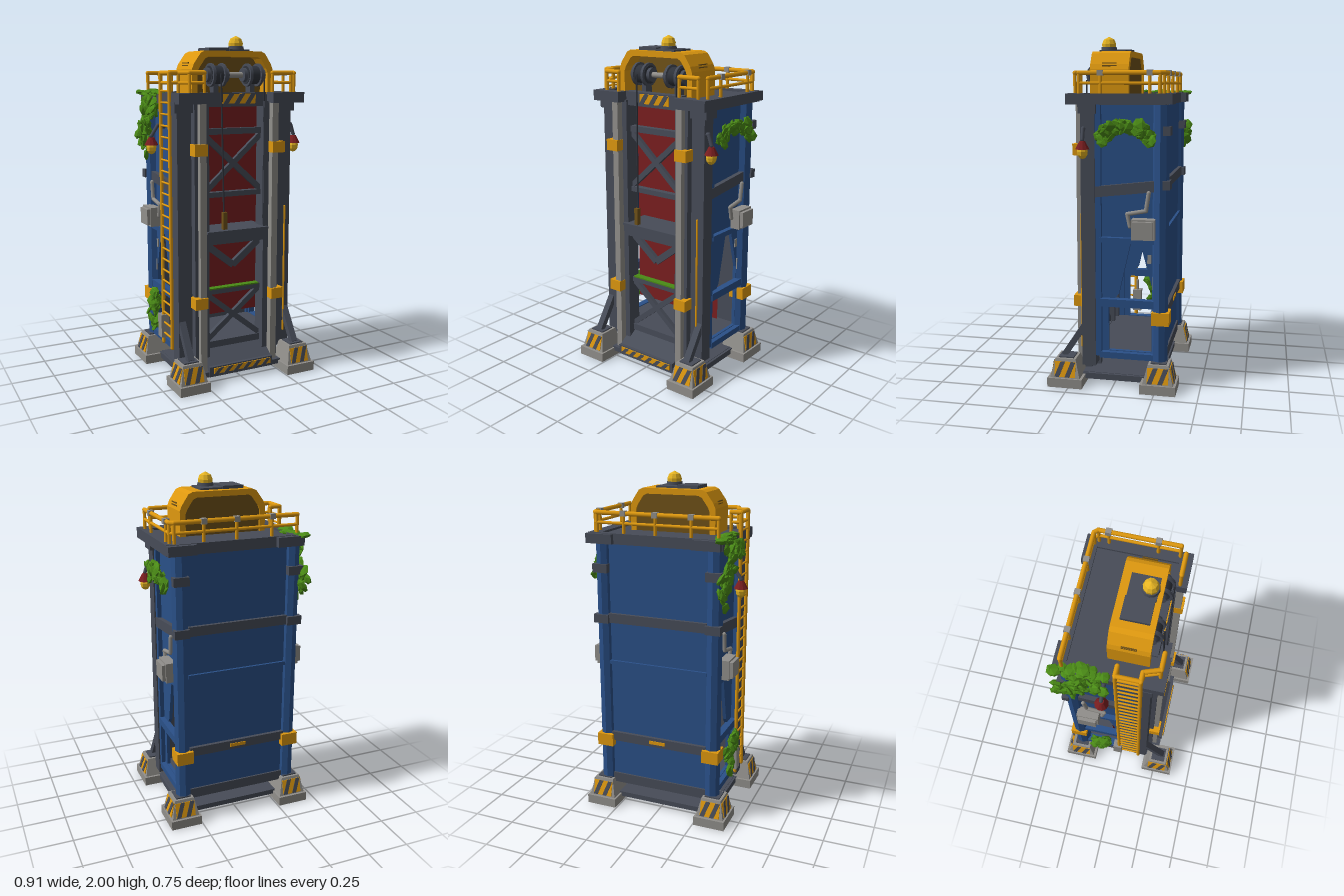
import * as THREE from 'three';

const mat = (name, color) => Object.assign(new THREE.MeshStandardMaterial({ color }), { name });
const M = {
  steel: mat('dark steel', 0x474c58), blue: mat('blue panel', 0x2a5088), yellow: mat('safety yellow', 0xdf990f),
  red: mat('red lining', 0x7a1e20), grey: mat('light grey', 0x918f8b), green: mat('leaf green', 0x4a8a16),
  brown: mat('brown panel', 0x705218), gold: mat('gold glass', 0xe6b422), black: mat('black rubber', 0x2f333b),
};
const V = (x, y, z) => new THREE.Vector3(x, y, z);
const UP = V(0, 1, 0);

function flat(geo) {
  const g = geo.index ? geo.toNonIndexed() : geo;
  g.computeVertexNormals();
  return g;
}

export function createModel() {
  const root = new THREE.Group();
  root.name = 'liftTower';
  const add = (name, geo, m, x = 0, y = 0, z = 0, parent = root) => {
    const mesh = new THREE.Mesh(geo, m);
    mesh.name = name;
    mesh.position.set(x, y, z);
    parent.add(mesh);
    return mesh;
  };
  const box = (name, m, w, h, d, x, y, z, parent) => add(name, new THREE.BoxGeometry(w, h, d), m, x, y, z, parent);
  // straight member between two points
  const span = (name, geo, m, a, b, parent) => {
    const mesh = add(name, geo, m, 0, 0, 0, parent);
    mesh.position.copy(a).lerp(b, 0.5);
    mesh.quaternion.setFromUnitVectors(UP, b.clone().sub(a).normalize());
    return mesh;
  };
  const beam = (name, m, a, b, w, d) => span(name, new THREE.BoxGeometry(w, a.distanceTo(b), d), m, a, b);
  const pipe = (name, m, pts, r) => {
    const g = new THREE.Group();
    g.name = name;
    root.add(g);
    pts.forEach((p, i) => {
      if (i) span(name + 'Run', new THREE.CylinderGeometry(r, r, p.distanceTo(pts[i - 1]), 8), m, pts[i - 1], p, g);
      add(name + 'Joint', new THREE.SphereGeometry(r, 8, 6), m, p.x, p.y, p.z, g);
    });
    return g;
  };
  // yellow plate with slanted dark stripes, facing +z
  const hazard = (name, w, h, n, parent = root) => {
    const g = new THREE.Group();
    g.name = name;
    parent.add(g);
    box('stripePlate', M.yellow, w, h, 0.006, 0, 0, 0, g);
    const step = w / n, s = step * 0.45;
    for (let i = 0; i < n; i++) {
      const x = -w / 2 + i * step;
      const shape = new THREE.Shape([[x, -h / 2], [x + s, -h / 2], [x + s * 2.2, h / 2], [x + s * 1.2, h / 2]]
        .map(p => new THREE.Vector2(...p)));
      add('darkStripe', new THREE.ExtrudeGeometry(shape, { depth: 0.003, bevelEnabled: false }), M.steel, 0, 0, 0.003, g);
    }
    return g;
  };

  // feet: concrete pad, tapered boot and hazard plates
  for (const sx of [-1, 1]) for (const sz of [-1, 1]) {
    const foot = new THREE.Group();
    foot.name = 'foot';
    foot.position.set(sx * 0.35, 0, sz * 0.27);
    root.add(foot);
    box('pad', M.grey, 0.187, 0.055, 0.205, 0, 0.0275, 0, foot);
    const g = new THREE.BoxGeometry(0.165, 0.11, 0.175), p = g.attributes.position;
    for (let i = 0; i < p.count; i++) if (p.getY(i) > 0) p.setXYZ(i, p.getX(i) * 0.72, p.getY(i), p.getZ(i) * 0.68);
    add('boot', flat(g), M.grey, 0, 0.11, 0, foot);
    box('bootSocket', M.steel, 0.09, 0.012, 0.09, 0, 0.166, 0, foot);
    const f = hazard('bootHazard', 0.118, 0.09, 2, foot);
    f.position.set(0, 0.105, sz * 0.076);
    f.rotation.set(-sz * 0.25, sz > 0 ? 0 : Math.PI, 0);
    const s = hazard('bootHazard', 0.122, 0.09, 2, foot);
    s.rotation.order = 'YXZ';
    s.position.set(sx * 0.073, 0.105, 0);
    s.rotation.set(-0.206, sx * Math.PI / 2, 0);
  }

  // base, raised floor and entry ramp
  box('basePlate', M.steel, 0.66, 0.03, 0.54, 0, 0.05, -0.01);
  box('floor', M.steel, 0.64, 0.035, 0.38, 0, 0.188, -0.07);
  beam('ramp', M.steel, V(0, 0.075, 0.255), V(0, 0.185, 0.1), 0.42, 0.02);
  box('threshold', M.steel, 0.42, 0.06, 0.03, 0, 0.065, 0.25);
  hazard('thresholdHazard', 0.38, 0.035, 6).position.set(0.005, 0.07, 0.268);
  box('backSill', M.steel, 0.62, 0.06, 0.05, 0, 0.17, -0.27);

  // frame, rails and side walls, mirrored left and right
  const pt = (z, y) => new THREE.Vector2(-z, y);
  for (const s of [-1, 1]) {
    box('frontPost', M.steel, 0.085, 1.5, 0.08, s * 0.325, 0.87, 0.14);
    box('innerPost', M.steel, 0.035, 1.56, 0.09, s * 0.195, 0.85, 0.15);
    box('channelBack', M.steel, 0.08, 1.54, 0.02, s * 0.25, 0.85, 0.15);
    box('guideRail', M.grey, 0.04, 1.57, 0.045, s * 0.232, 0.835, 0.212);
    box('railSpine', M.steel, 0.02, 1.55, 0.05, s * 0.263, 0.845, 0.18);
    box('sidePost', M.blue, 0.05, 1.44, 0.035, s * 0.335, 0.9, 0.085);
    add('backPost', flat(new THREE.CylinderGeometry(0.046, 0.046, 1.48, 8)), M.blue, s * 0.335, 0.88, -0.268);
    for (const y of [0.48, 1.365]) box('railClamp', M.yellow, 0.08, 0.065, 0.07, s * 0.25, y, 0.212);
    box('backClamp', M.yellow, 0.1, 0.075, 0.1, s * 0.335, 0.425, -0.275);
    for (const y of [1.185, 1.48]) box('postCollar', M.steel, 0.09, 0.05, 0.04, s * 0.34, y, -0.303);
    box('topCollar', M.steel, 0.11, 0.06, 0.1, s * 0.33, 1.6, 0.14);

    // wall with broken opening
    const wall = new THREE.Shape([pt(0.09, 0.2), pt(-0.25, 0.2), pt(-0.25, 1.63), pt(0.09, 1.63)]);
    wall.holes.push(new THREE.Path([pt(0.03, 0.21), pt(0.03, 0.47), pt(-0.03, 0.55), pt(-0.1, 0.86),
      pt(-0.15, 0.86), pt(-0.22, 0.6), pt(-0.22, 0.21)]));
    add('sideWall', new THREE.ExtrudeGeometry(wall, { depth: 0.02, bevelEnabled: false }).rotateY(Math.PI / 2),
      M.blue, s * 0.325 - 0.01);

    // side girts
    beam('upperGirt', M.steel, V(s * 0.345, 1.13, 0.16), V(s * 0.345, 1.175, -0.235), 0.035, 0.06);
    for (const [y, h] of [[0.865, 0.03], [0.5, 0.045], [0.188, 0.036]])
      box('sideGirt', M.blue, 0.04, h, 0.31, s * 0.345, y, -0.08);
    box('bottomGirt', M.steel, 0.05, 0.035, 0.44, s * 0.32, 0.045, 0);
    beam('footBrace', M.steel, V(s * 0.345, 0.17, 0.29), V(s * 0.345, 0.43, 0.12), 0.04, 0.035);
    for (const [y, z, h] of [[0.62, -0.232, 0.07], [0.76, -0.205, 0.05]])
      box('wallStain', M.grey, 0.006, h, 0.022, s * 0.338, y, z);
  }
  pipe('cableConduit', M.yellow, [V(0.33, 0.22, 0.188), V(0.33, 1.0, 0.188)], 0.006);

  // back wall, and the red sheet closing the shaft behind the lattice
  box('backWall', M.blue, 0.62, 1.46, 0.03, 0, 0.9, -0.27);
  box('backLining', M.steel, 0.61, 1.42, 0.008, 0, 0.91, -0.251);
  add('shaftLining', new THREE.PlaneGeometry(0.62, 1.32), M.red, 0, 0.96, -0.06);
  for (const y of [0.45, 1.19]) box('backGirt', M.steel, 0.6, 0.055, 0.035, 0, y, -0.288);
  box('backRidge', M.blue, 0.6, 0.022, 0.03, 0, 0.92, -0.285);
  box('paintMark', M.yellow, 0.1, 0.02, 0.006, 0, 0.45, -0.307);

  // front lattice
  const Z = 0.14;
  for (const [y, h] of [[1.46, 0.035], [1.095, 0.03], [0.515, 0.03], [0.19, 0.04]]) box('crossBar', M.steel, 0.38, h, 0.04, 0, y, Z);
  box('landing', M.steel, 0.4, 0.07, 0.1, 0, 0.845, 0.15);
  box('landingPlate', M.steel, 0.4, 0.012, 0.2, 0, 0.885, 0.12);
  box('moss', M.green, 0.34, 0.008, 0.042, 0, 0.532, Z);
  for (const s of [-1, 1]) {
    beam('brace', M.steel, V(-s * 0.185, 1.11, Z), V(s * 0.185, 1.44, Z), 0.032, 0.025);
    beam('brace', M.steel, V(-s * 0.185, 0.21, Z), V(s * 0.185, 0.51, Z), 0.032, 0.025);
    beam('veeBrace', M.steel, V(s * 0.185, 0.81, Z), V(0, 0.665, Z), 0.04, 0.025);
  }

  // top deck
  box('deck', M.steel, 0.74, 0.045, 0.48, 0.01, 1.645, -0.06);
  for (const [x, w] of [[-0.352, 0.06], [0.38, 0.07]]) box('deckSideBeam', M.steel, w, 0.06, 0.55, x, 1.65, -0.025);
  for (const [x, w] of [[-0.285, 0.19], [0.31, 0.21]]) box('deckFrontBeam', M.steel, w, 0.06, 0.07, x, 1.65, 0.215);
  box('deckBackBeam', M.steel, 0.7, 0.06, 0.04, 0.01, 1.65, -0.287);
  for (const [x, w] of [[-0.3, 0.16], [0.335, 0.16]]) box('deckCornerPlate', M.steel, w, 0.055, 0.06, x, 1.65, -0.306);
  box('header', M.steel, 0.4, 0.08, 0.06, 0, 1.64, 0.15);
  hazard('headerHazard', 0.21, 0.055, 3).position.set(0.02, 1.645, 0.184);

  // guard rails: upper and lower pipes with posts and sleeves
  const runs = [
    [[-0.355, -0.285], [0.365, -0.285], [0.385, -0.265], [0.385, 0.18]],
    [[0.345, 0.212], [0.22, 0.212]],
    [[-0.33, 0], [-0.385, 0], [-0.385, 0.13], [-0.335, 0.13], [-0.305, 0.215], [-0.215, 0.215]],
  ];
  for (const run of runs) {
    for (const [y, r] of [[1.79, 0.013], [1.735, 0.009]]) pipe('guardRail', M.yellow, run.map(([x, z]) => V(x, y, z)), r);
    for (const [x, z] of run) pipe('guardPost', M.yellow, [V(x, 1.67, z), V(x, 1.79, z)], 0.01);
  }
  for (const [x, z] of [[-0.2, -0.285], [0.01, -0.285], [0.2, -0.285], [0.385, -0.21], [0.385, 0.06]]) {
    pipe('guardPost', M.yellow, [V(x, 1.67, z), V(x, 1.79, z)], 0.01);
    box('railSleeve', M.grey, 0.032, 0.03, 0.032, x, 1.79, z);
  }

  // ladder
  for (const z of [0, 0.13]) pipe('ladderRail', M.yellow, [V(-0.39, 0.2, z), V(-0.39, 1.79, z)], 0.011);
  for (let y = 0.26; y < 1.7; y += 0.065) pipe('ladderRung', M.yellow, [V(-0.39, y, 0), V(-0.39, y, 0.13)], 0.006);

  // machine housing
  const arch = k => [[-0.26, 1.66], [-0.26, 1.81], [-0.248, 1.84], [-0.205, 1.9], [-0.18, 1.912],
    [0.18, 1.912], [0.205, 1.9], [0.245, 1.84], [0.257, 1.81], [0.257, 1.66]]
    .map(([x, y]) => new THREE.Vector2(x * (1 - k), 1.66 + (y - 1.66) * (1 - k)));
  const shell = new THREE.Shape([...arch(0), ...arch(0.13).reverse()]);
  add('housingShell', new THREE.ExtrudeGeometry(shell, { depth: 0.22, bevelEnabled: false }), M.yellow, 0, 0, -0.07);
  add('housingCore', new THREE.ExtrudeGeometry(new THREE.Shape(arch(0.13)), { depth: 0.12, bevelEnabled: false }), M.brown, 0, 0, -0.06);
  for (const s of [-1, 1]) for (const y of [1.83, 1.845]) box('ventSlot', M.brown, 0.006, 0.006, 0.08, s * 0.25, y, 0.04);
  box('roofHatch', M.steel, 0.125, 0.02, 0.15, -0.077, 1.92, 0.045);
  box('beaconPlate', M.steel, 0.13, 0.012, 0.15, 0.052, 1.916, 0.05);
  add('beaconBase', new THREE.CylinderGeometry(0.045, 0.048, 0.02, 12), M.steel, 0.047, 1.93, 0.085);
  add('beacon', flat(new THREE.LatheGeometry([[0.04, 0], [0.042, 0.02], [0.032, 0.045], [0, 0.062]]
    .map(p => new THREE.Vector2(...p)), 10)), M.gold, 0.047, 1.938, 0.085);

  // winch drums, shaft, ropes and hook
  const roll = (name, m, r, w, x) => add(name, new THREE.CylinderGeometry(r, r, w, 16).rotateZ(Math.PI / 2), m, x, 1.778, 0.125);
  roll('winchShaft', M.grey, 0.016, 0.36, 0.01);
  for (const x of [-0.1, 0.135]) {
    roll('drum', M.black, 0.052, 0.09, x);
    for (const e of [-0.035, 0.035]) roll('drumFlange', M.steel, 0.066, 0.016, x + e);
    for (const e of [-0.058, 0.058]) roll('drumHub', M.steel, 0.04, 0.02, x + e);
    box('drumBearing', M.steel, 0.03, 0.11, 0.05, x, 1.71, 0.1);
  }
  pipe('hoistRope', M.black, [V(-0.1, 1.78, 0.19), V(-0.09, 0.98, 0.206)], 0.005);
  pipe('backRope', M.black, [V(0.18, 1.75, 0.188), V(0.18, 0.9, 0.188)], 0.004);
  box('hoistHook', M.brown, 0.026, 0.1, 0.026, -0.09, 0.95, 0.212);

  // wall lamps
  for (const [s, x, z] of [[1, 0.4, 0.16], [-1, 0.42, -0.075]]) {
    pipe('lampArm', M.steel, [V(s * 0.34, 1.48, z), V(s * 0.38, 1.49, z), V(s * x, 1.43, z)], 0.011);
    add('lampShade', flat(new THREE.CylinderGeometry(0.016, 0.04, 0.045, 10)), M.red, s * x, 1.4, z);
    add('lampBulb', flat(new THREE.SphereGeometry(0.031, 8, 6).scale(1, 1.35, 1)), M.gold, s * x, 1.365, z);
  }

  // junction boxes with conduit, and a low cabinet
  for (const s of [-1, 1]) {
    box('junctionBox', M.grey, 0.06, 0.115, 0.13, s * 0.385, 0.94, -0.18);
    box('junctionDoor', M.grey, 0.022, 0.095, 0.11, s * 0.424, 0.94, -0.18);
    pipe('conduit', M.grey, [V(s * 0.37, 0.95, -0.1), V(s * 0.37, 1.02, -0.085), V(s * 0.37, 1.04, -0.19),
      V(s * 0.37, 1.14, -0.205)], 0.012);
  }
  box('lowCabinet', M.grey, 0.05, 0.14, 0.055, -0.385, 0.3, -0.01);
  pipe('cabinetPipe', M.grey, [V(-0.385, 0.37, -0.01), V(-0.385, 0.43, -0.01)], 0.009);

  // creepers: leaves scattered along a path, lying flat when tilt is a quarter turn
  let seed = 7;
  const rnd = () => (seed = (seed * 16807) % 2147483647) / 2147483647;
  const leafGeo = flat(new THREE.IcosahedronGeometry(1, 0).scale(0.014, 0.038, 0.034));
  const creeper = (name, pts, n, spread, tilt = 0) => {
    const g = new THREE.Group(), c = new THREE.CatmullRomCurve3(pts);
    g.name = name;
    root.add(g);
    for (let i = 0; i < n; i++) {
      const p = c.getPoint(i / (n - 1)), j = () => (rnd() - 0.5) * spread, lean = tilt ? 0.4 : 1;
      const leaf = add('leaf', leafGeo, M.green, p.x + j() * 0.6, p.y + j() * lean, p.z + j(), g);
      leaf.rotation.set((rnd() * 2 - 1) * lean, (rnd() * 1.2 - 0.6) * lean, tilt + (rnd() * 1.2 - 0.6) * lean);
      leaf.scale.setScalar(0.75 + rnd() * 0.4);
    }
  };
  creeper('leftCreeper', [V(0.39, 1.43, 0.06), V(0.41, 1.49, -0.01), V(0.42, 1.49, -0.13), V(0.4, 1.44, -0.22)], 44, 0.06);
  creeper('rightCreeper', [V(-0.4, 1.61, -0.08), V(-0.4, 1.6, -0.2), V(-0.4, 1.5, -0.2), V(-0.39, 1.45, -0.29),
    V(-0.385, 1.34, -0.26)], 64, 0.08);
  creeper('deckCreeper', [V(-0.37, 1.672, -0.08), V(-0.355, 1.675, -0.17), V(-0.375, 1.672, -0.3)], 26, 0.06, Math.PI / 2);
  creeper('lowCreeper', [V(-0.4, 0.48, -0.08), V(-0.4, 0.4, -0.13), V(-0.4, 0.26, -0.14)], 30, 0.065);
  return root;
}
